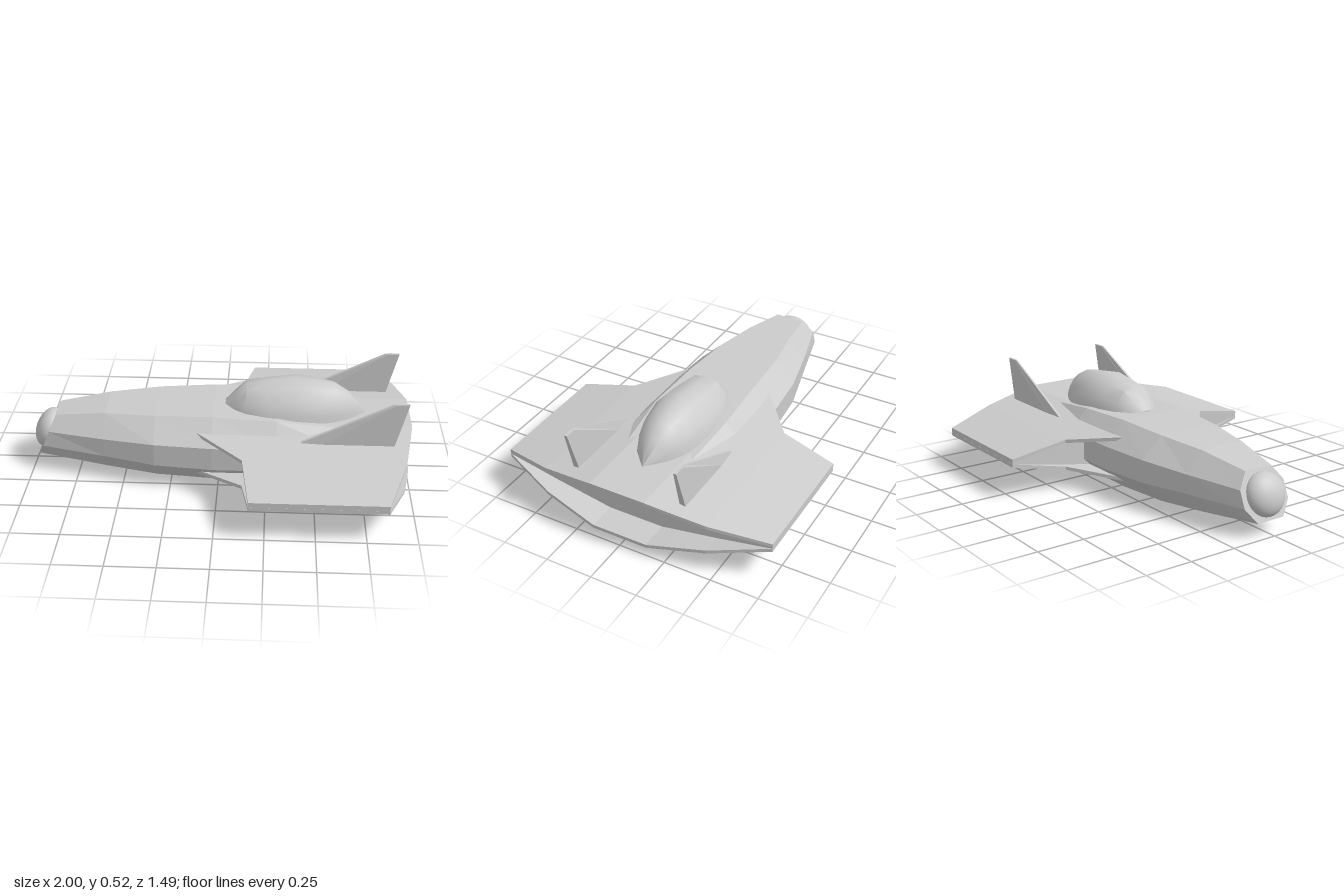
import * as THREE from 'three';
import { toCreasedNormals } from 'three/addons/utils/BufferGeometryUtils.js';

const grey = new THREE.MeshStandardMaterial({ color: 0xcccccc });
const faceted = new THREE.MeshStandardMaterial({ color: 0xcccccc, flatShading: true });

// Skin a list of closed convex rings, cap both ends and face everything outwards
function loft(rings) {
  const n = rings[0].length, pos = [], tris = [];
  rings.forEach(r => r.forEach(p => pos.push(...p)));
  for (let i = 0; i < rings.length - 1; i++) {
    for (let j = 0; j < n; j++) {
      const a = i * n + j, b = i * n + (j + 1) % n;
      tris.push([a, b, b + n], [a, b + n, a + n]);
    }
  }
  const last = (rings.length - 1) * n;
  for (let j = 1; j < n - 1; j++) {
    tris.push([0, j + 1, j], [last, last + j, last + j + 1]);
  }
  const v = i => new THREE.Vector3().fromArray(pos, i * 3);
  const volume = tris.reduce((s, [a, b, c]) => s + v(a).dot(v(b).cross(v(c))), 0);
  if (volume < 0) tris.forEach(t => t.reverse());
  const geo = new THREE.BufferGeometry();
  geo.setAttribute('position', new THREE.Float32BufferAttribute(pos, 3));
  geo.setIndex(tris.flat());
  const flat = geo.toNonIndexed();
  flat.computeVertexNormals();
  return flat;
}

export function createModel() {
  const ship = new THREE.Group();
  ship.name = 'spacecraft';
  const add = (name, geo, mat = faceted) => {
    const mesh = new THREE.Mesh(geo, mat);
    mesh.name = name;
    ship.add(mesh);
    return mesh;
  };

  // Hull: octagonal sections [x, top z, top y, side z, upper y, lower y, bottom z, bottom y]
  const sections = [
    [-0.97, 0.08, 0.305, 0.137, 0.23, 0.145, 0.08, 0.07],
    [-0.6, 0.125, 0.345, 0.22, 0.24, 0.14, 0.13, 0.03],
    [-0.33, 0.17, 0.36, 0.285, 0.25, 0.13, 0.17, 0.01],
    [-0.03, 0.19, 0.37, 0.31, 0.25, 0.125, 0.185, 0],
    [0.3, 0.205, 0.36, 0.31, 0.25, 0.125, 0.185, 0],
    [0.64, 0.18, 0.315, 0.29, 0.25, 0.125, 0.185, 0],
    [0.8, 0.16, 0.29, 0.27, 0.23, 0.125, 0.18, 0],
    [0.85, 0.15, 0.27, 0.22, 0.22, 0.13, 0.165, 0.04],
  ];
  add('hull', loft(sections.map(([x, zt, yt, zs, yu, yl, zb, yb], i) => {
    const half = [[yt, zt], [yu, zs], [yl, zs], [yb, zb]];
    const ring = [...half, ...half.map(([y, z]) => [y, -z]).reverse()];
    const lean = i === 0 ? 0.426 : 0; // the nose face tilts back
    return ring.map(([y, z]) => [x + (y - 0.07) * lean, y, z]);
  })));

  // Nose dome, set square to the tilted nose face
  const dome = add('noseDome', new THREE.SphereGeometry(1, 28, 18), grey);
  dome.scale.set(0.07, 0.11, 0.11);
  dome.position.set(-0.923, 0.188, 0);
  dome.rotation.z = -0.4;

  // Wing skins: stations [z, leading x, trailing x, height above the wing's middle]
  const half = [[0.15, -0.11, 1, 0.138], [0.245, -0.11, 0.985, 0.12], [0.45, 0.13, 0.95, 0.083], [0.745, 0.17, 0.85, 0.022]];
  const stations = [...half.map(([z, ...r]) => [-z, ...r]).reverse(), ...half];
  const mid = 0.187;
  for (const [name, s] of [['upperWingSkin', 1], ['lowerWingSkin', -1]]) {
    add(name, loft(stations.map(([z, x0, x1, h]) => {
      const yo = mid + s * h, yi = mid + s * (h - 0.018);
      return [[x0, yo, z], [x1, yo, z], [x1, yi, z], [x0, yi, z]];
    })));
  }

  // Wing core: closes the tips and forms the recessed walls between the skins
  const core = [0.17, 0.85].map(x => {
    const upper = stations.map(([z, , , h]) => [x, mid + h - 0.006, z * 0.999]);
    const lower = stations.map(([z, , , h]) => [x, mid - h + 0.006, z * 0.999]).reverse();
    return [...upper, ...lower];
  });
  add('wingCore', loft(core));

  // Canopy: one dome profile scaled along [x, half width, top y]
  const profile = [[1, 0], [0.94, 0.27], [0.8, 0.55], [0.46, 0.9]];
  const arch = [...profile, [0, 1], ...profile.map(([w, h]) => [-w, h]).reverse()];
  const canopy = [
    [0.03, 0.06, 0.375], [0.08, 0.11, 0.425], [0.14, 0.145, 0.482], [0.25, 0.175, 0.494], [0.4, 0.18, 0.516],
    [0.52, 0.158, 0.5], [0.6, 0.13, 0.485], [0.68, 0.088, 0.435], [0.77, 0.004, 0.33],
  ];
  add('canopy', toCreasedNormals(loft(canopy.map(([x, w, top]) =>
    arch.map(([u, t]) => [x, 0.32 + t * (top - 0.32), u * w]))), 0.75), grey);

  // Tail fins: swept plates that thin towards the tip and the leading edge
  const finLevels = [[0.285, 0.4, 0.895, 0.016], [0.525, 0.885, 0.96, 0.008]];
  for (const [name, side] of [['leftOfCentreFin', 1], ['rightOfCentreFin', -1]]) {
    const fin = add(name, loft(finLevels.map(([y, x0, x1, t]) => {
      const xm = x0 + (x1 - x0) * 0.25;
      return [[x0, y, t * 0.5], [xm, y, t], [x1, y, t], [x1, y, -t], [xm, y, -t], [x0, y, -t * 0.5]];
    })));
    fin.position.z = side * 0.298;
  }
  return ship;
}
